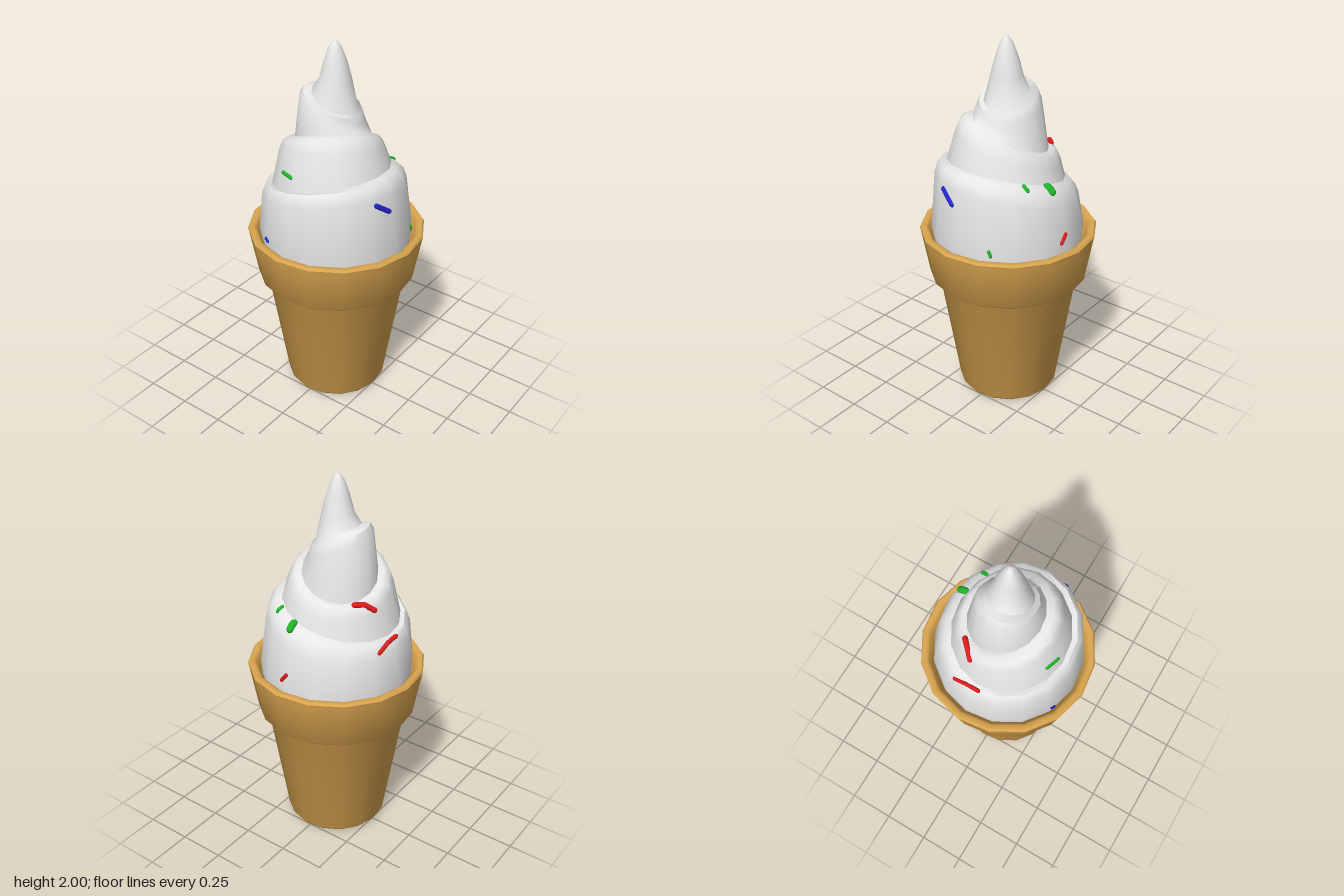
import * as THREE from 'three';
import { toCreasedNormals } from 'three/addons/utils/BufferGeometryUtils.js';

const SIDES = 16;
const PHASE = 0.325;

function material(name, color) {
  const m = new THREE.MeshStandardMaterial({ color });
  m.name = name;
  return m;
}

function lathe(points) {
  const profile = points.map(([r, y]) => new THREE.Vector2(r, y));
  return new THREE.LatheGeometry(profile, SIDES, PHASE);
}

// Swirl: stacked tilted rings [radius, y, tilt along x, tilt along z, centre x, centre z]
const SWIRL = [
  [0.395, 0.88, 0, 0, 0, 0],
  [0.405, 0.98, 0, 0, -0.005, 0],
  [0.376, 1.22, -0.03, 0.07, -0.012, -0.005],
  [0.36, 1.265, -0.03, 0.075, -0.014, -0.006],
  [0.338, 1.29, -0.022, 0.075, -0.02, -0.01],
  [0.308, 1.295, -0.01, 0.075, -0.025, -0.014],
  [0.271, 1.43, -0.075, 0.05, -0.01, -0.015],
  [0.252, 1.473, -0.075, 0.053, -0.008, -0.016],
  [0.228, 1.493, -0.072, 0.057, -0.004, -0.018],
  [0.195, 1.495, -0.068, 0.06, 0, -0.02],
  [0.163, 1.655, -0.025, -0.06, -0.01, -0.02],
  [0.148, 1.69, -0.015, -0.058, -0.012, -0.014],
  [0.115, 1.702, 0, -0.05, -0.014, -0.002],
  [0.083, 1.8, 0, 0, -0.01, 0],
  [0.06, 1.89, 0, 0, -0.01, 0],
  [0.033, 1.965, 0, 0, -0.012, 0],
  [0.014, 1.993, 0, 0, -0.012, 0],
  [0, 2.0, 0, 0, -0.012, 0],
];

function swirlGeometry() {
  const geo = lathe(SWIRL);
  const pos = geo.attributes.position;
  for (let i = 0; i < pos.count; i++) {
    const [, y, tiltX, tiltZ, cx, cz] = SWIRL[i % SWIRL.length];
    const phi = PHASE + (Math.floor(i / SWIRL.length) / SIDES) * Math.PI * 2;
    pos.setXYZ(i, pos.getX(i) + cx, y + tiltX * Math.sin(phi) + tiltZ * Math.cos(phi), pos.getZ(i) + cz);
  }
  return toCreasedNormals(geo, 0.75);
}

export function createModel() {
  const group = new THREE.Group();
  const wafer = material('wafer', 0xdba650);
  const cream = material('cream', 0xe6e6e6);
  const red = material('red', 0xe01c1c);
  const green = material('green', 0x1fb52b);
  const blue = material('blue', 0x2424d0);

  // Wafer cup with a wider hollow rim
  const cup = new THREE.Mesh(toCreasedNormals(lathe([
    [0, 0], [0.235, 0.004], [0.262, 0.012], [0.274, 0.03],
    [0.377, 0.69], [0.385, 0.7], [0.412, 0.7], [0.424, 0.712],
    [0.466, 0.95], [0.471, 0.972], [0.463, 0.983], [0.44, 0.984],
    [0.425, 0.972], [0.412, 0.93], [0.385, 0.88],
  ]), 0.8), wafer);
  cup.name = 'waferCup';
  group.add(cup);

  const swirl = new THREE.Mesh(swirlGeometry(), cream);
  swirl.name = 'creamSwirl';
  group.add(swirl);
  swirl.updateMatrixWorld(true);

  // Sprinkles: capsules laid along the cream between two points
  const ray = new THREE.Raycaster();
  function snap(p, fromAbove) {
    const origin = fromAbove ? new THREE.Vector3(p.x, 3, p.z) : new THREE.Vector3(p.x, 0, p.z).setLength(1).setY(p.y);
    const dir = fromAbove ? new THREE.Vector3(0, -1, 0) : new THREE.Vector3(-origin.x, 0, -origin.z).normalize();
    ray.set(origin, dir);
    const hit = ray.intersectObject(swirl)[0];
    return hit ? hit.point : p;
  }
  function sprinkle(name, mat, a, b, radius, fromAbove = false) {
    const part = new THREE.Group();
    part.name = name;
    const start = new THREE.Vector3(...a), end = new THREE.Vector3(...b);
    const pts = [0, 0.5, 1].map((t) => snap(start.clone().lerp(end, t), fromAbove));
    for (let i = 0; i < 2; i++) {
      const along = pts[i + 1].clone().sub(pts[i]);
      const mesh = new THREE.Mesh(new THREE.CapsuleGeometry(radius, along.length(), 4, 8), mat);
      mesh.name = name + 'Half';
      mesh.position.copy(pts[i]).addScaledVector(along, 0.5);
      mesh.quaternion.setFromUnitVectors(new THREE.Vector3(0, 1, 0), along.normalize());
      part.add(mesh);
    }
    group.add(part);
  }
  sprinkle('frontSprinkle', blue, [-0.145, 1.268, 0.35], [-0.065, 1.212, 0.36], 0.014);
  sprinkle('lowerFrontSprinkle', green, [0.155, 1.015, 0.36], [0.165, 0.99, 0.36], 0.009);
  sprinkle('lowerLeftSprinkle', red, [0.39, 1.01, 0.062], [0.38, 1.05, 0.03], 0.011);
  sprinkle('leftLedgeSprinkle', green, [0.285, 1.26, 0.055], [0.315, 1.25, 0.055], 0.02, true);
  sprinkle('upperLeftSprinkle', green, [0.23, 1.325, 0.175], [0.235, 1.31, 0.165], 0.011);
  sprinkle('backLedgeSprinkle', red, [-0.03, 1.19, -0.347], [0.11, 1.19, -0.342], 0.012, true);
  sprinkle('upperBackSprinkle', red, [0.055, 1.42, -0.27], [0.125, 1.42, -0.2], 0.015, true);
  sprinkle('rightSprinkle', green, [-0.295, 1.37, -0.12], [-0.31, 1.37, -0.05], 0.011);
  sprinkle('lowerRightSprinkle', blue, [-0.36, 1.0, -0.175], [-0.365, 0.99, -0.16], 0.009);
  return group;
}
